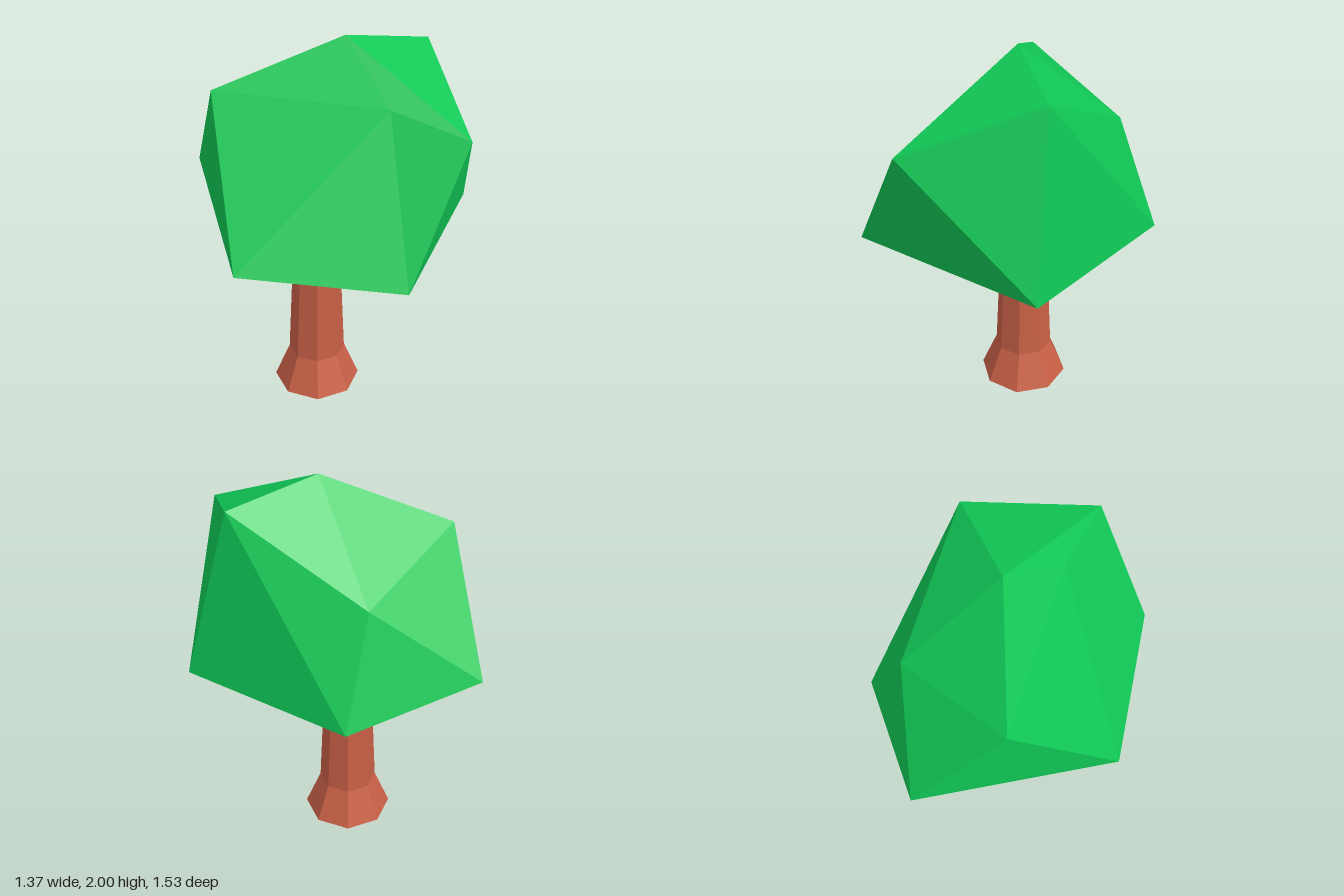
import * as THREE from 'three';

// Irregular faceted crown: named corners joined by triangles
const corners = {
  // lower rim
  A: [-0.14, 1.15, -0.765], B: [0.48, 1.03, -0.485], C: [0.68, 1.04, 0.39],
  E: [-0.24, 1.06, 0.765], F: [-0.685, 1.06, 0.1],
  // shoulders and peak
  D: [0.15, 1.675, 0.765], G: [-0.37, 1.745, -0.355], H: [0.09, 2, 0.07],
  I: [0.515, 1.912, 0.22], J: [0.26, 1.56, -0.41], K: [0.03, 1.75, 0.4],
  // hollow of the underside, above the trunk
  P: [0, 1.31, -0.02],
};
const upperFaces = 'HJG GJA HIJ AJB JIB BIC IDC HDI DEC KED HKD KFE GFK GKH AFG';
const underFaces = 'PAB PBC PCE PEF PFA';

function crownGeometry() {
  const points = [];
  for (const face of `${upperFaces} ${underFaces}`.split(' ')) {
    for (const name of face) points.push(...corners[name]);
  }
  const geometry = new THREE.BufferGeometry();
  geometry.setAttribute('position', new THREE.Float32BufferAttribute(points, 3));
  geometry.computeVertexNormals();
  return geometry;
}

export function createModel() {
  const tree = new THREE.Group();
  tree.name = 'tree';

  // Eight-sided trunk with a flared foot
  const profile = [[0, 0], [0.23, 0], [0.15, 0.2], [0.1, 1.3], [0, 1.3]]
    .map(([r, y]) => new THREE.Vector2(r, y));
  const trunk = new THREE.Mesh(
    new THREE.LatheGeometry(profile, 8),
    new THREE.MeshStandardMaterial({ color: 0xc96046, flatShading: true }),
  );
  trunk.name = 'trunk';
  trunk.position.z = -0.03;
  tree.add(trunk);

  // Leafy crown
  const crown = new THREE.Mesh(
    crownGeometry(),
    new THREE.MeshStandardMaterial({ color: 0x10c755, flatShading: true }),
  );
  crown.name = 'crown';
  tree.add(crown);

  return tree;
}
